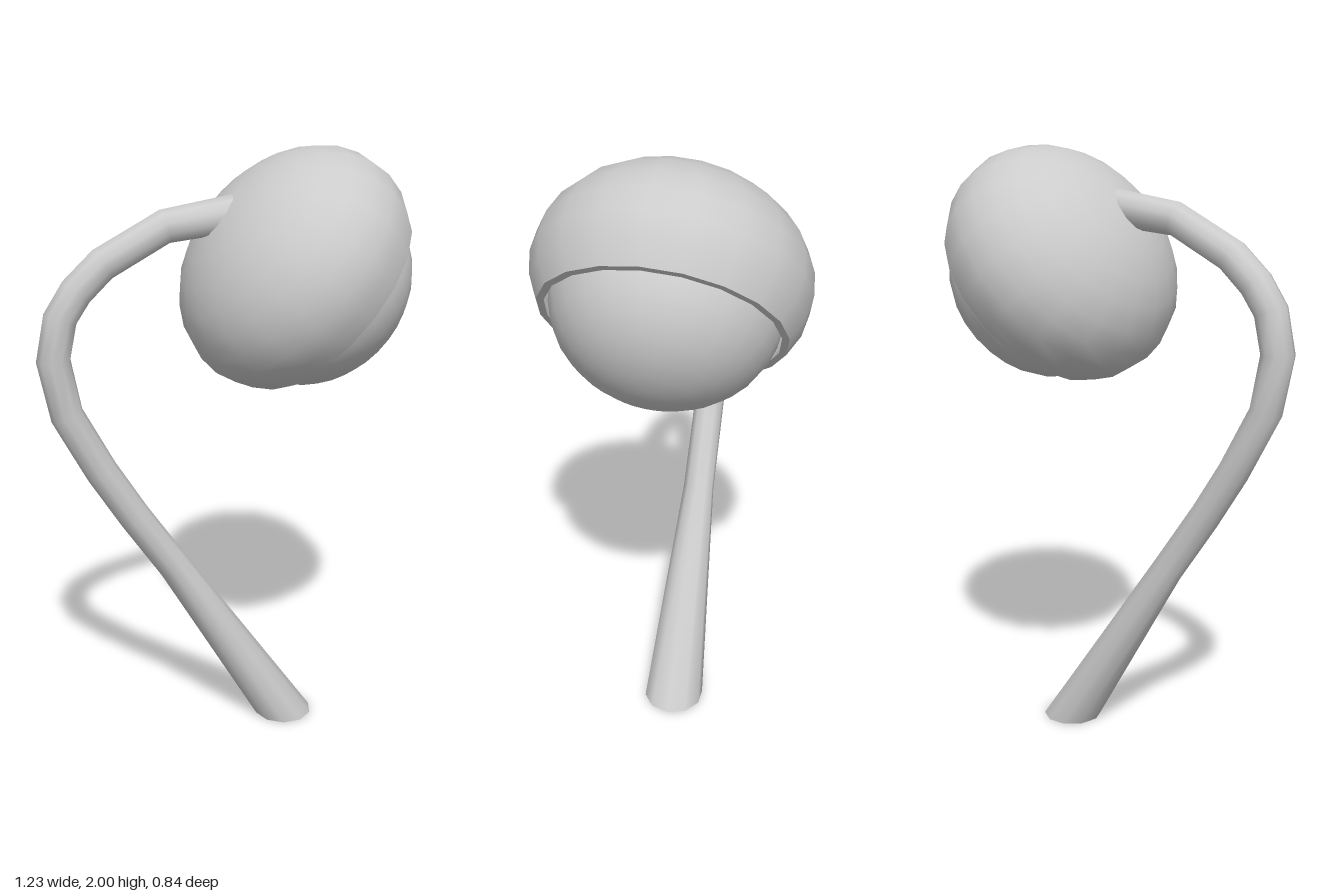
import * as THREE from 'three';
import { mergeGeometries } from 'three/addons/utils/BufferGeometryUtils.js';

const material = new THREE.MeshStandardMaterial({ color: 0xcccccc });
const TILT = 0.876;   // lean of the head about z
const RIM = -0.152;   // height of the opening below the shade's widest ring

// Points on an ellipse from the opening height up to the apex
function domeProfile(radius, height, rows = 9) {
  const start = Math.asin(RIM / height);
  return Array.from({ length: rows + 1 }, (_, i) => {
    const a = start + (Math.PI / 2 - start) * i / rows;
    return new THREE.Vector2(Math.max(0, radius * Math.cos(a)), height * Math.sin(a));
  });
}

// Thin-walled shade: outer skin, inner skin and the flat rim between them
function shadeGeometry() {
  const outer = domeProfile(0.42, 0.322);
  const inner = domeProfile(0.403, 0.302);
  return mergeGeometries([
    new THREE.LatheGeometry(outer, 20),
    new THREE.LatheGeometry([...inner].reverse(), 20),
    new THREE.LatheGeometry([inner[0], outer[0]], 20),
  ]);
}

// Tapered bent tube with a level foot; each station is [x, y, radius]
function stemGeometry(stations, sides = 10, z = 0.008) {
  const pos = [], index = [];
  stations.forEach(([x, y, r], i) => {
    const a = stations[Math.max(0, i - 1)];
    const b = stations[Math.min(stations.length - 1, i + 1)];
    const t = i === 0 ? new THREE.Vector2(0, 1) : new THREE.Vector2(b[0] - a[0], b[1] - a[1]).normalize();
    for (let j = 0; j < sides; j++) {
      const s = j / sides * Math.PI * 2;
      pos.push(x + r * Math.cos(s) * t.y, y - r * Math.cos(s) * t.x, z + r * Math.sin(s));
    }
  });
  for (let i = 0; i < stations.length - 1; i++) {
    for (let j = 0; j < sides; j++) {
      const a = i * sides + j, b = i * sides + (j + 1) % sides;
      index.push(a, a + sides, b, b, a + sides, b + sides);
    }
  }
  // Foot cap and hidden end cap, with their own corners for sharp edges
  const last = stations.length - 1;
  [0, last].forEach((ring) => {
    const base = pos.length / 3;
    pos.push(...pos.slice(ring * sides * 3, (ring + 1) * sides * 3));
    for (let j = 1; j < sides - 1; j++) {
      if (ring === 0) index.push(base, base + j, base + j + 1);
      else index.push(base, base + j + 1, base + j);
    }
  });
  const geometry = new THREE.BufferGeometry();
  geometry.setAttribute('position', new THREE.Float32BufferAttribute(pos, 3));
  geometry.setIndex(index);
  geometry.computeVertexNormals();
  return geometry;
}

function addMesh(parent, name, geometry, x = 0, y = 0) {
  const mesh = new THREE.Mesh(geometry, material);
  mesh.name = name;
  mesh.position.set(x, y, 0);
  parent.add(mesh);
  return mesh;
}

export function createModel() {
  const model = new THREE.Group();
  model.name = 'lamp';

  // Stem, flared at the foot and running into the shade
  addMesh(model, 'stem', stemGeometry([
    [0.217, 0, 0.102], [-0.185, 0.63, 0.054], [-0.32, 0.83, 0.053],
    [-0.425, 1.0, 0.053], [-0.53, 1.2, 0.053], [-0.565, 1.38, 0.054],
    [-0.538, 1.51, 0.054], [-0.485, 1.59, 0.054], [-0.4, 1.67, 0.054],
    [-0.2, 1.775, 0.054], [0.03, 1.805, 0.06],
  ]));

  // Shade, opening towards the lower left
  addMesh(model, 'shade', shadeGeometry(), 0.23, 1.62).rotation.z = TILT;

  // Bulb, slightly flattened along the shade's axis
  const bulb = new THREE.SphereGeometry(0.345, 24, 16);
  bulb.scale(1, 0.87, 1);
  addMesh(model, 'bulb', bulb, 0.295, 1.565).rotation.z = TILT;

  return model;
}
